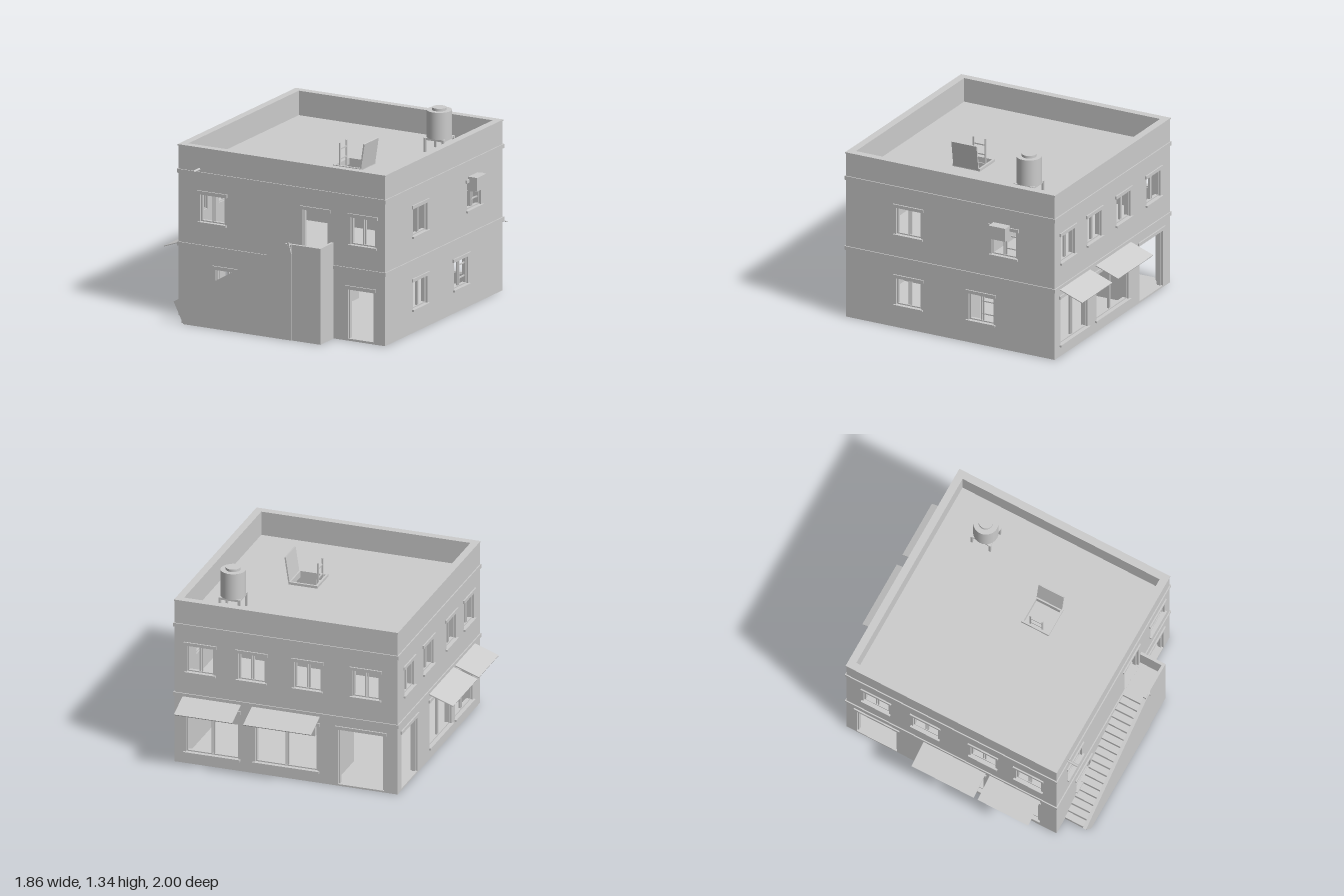
import * as THREE from 'three';

const plaster = new THREE.MeshStandardMaterial({ color: 0xcccccc });
plaster.name = 'plaster grey';

const X0 = -0.75, X1 = 0.86, Z0 = -0.82, Z1 = 0.80; // outer walls
const T = 0.05; // wall thickness

function add(parent, name, geometry) {
  const mesh = new THREE.Mesh(geometry, plaster);
  mesh.name = name;
  parent.add(mesh);
  return mesh;
}

// box given by its minimum and maximum corners
function box(parent, name, x0, x1, y0, y1, z0, z1) {
  const mesh = add(parent, name, new THREE.BoxGeometry(x1 - x0, y1 - y0, z1 - z0));
  mesh.position.set((x0 + x1) / 2, (y0 + y1) / 2, (z0 + z1) / 2);
  return mesh;
}

function rect(Kind, x0, x1, y0, y1) {
  const p = new Kind();
  p.moveTo(x0, y0);
  p.lineTo(x1, y0);
  p.lineTo(x1, y1);
  p.lineTo(x0, y1);
  p.closePath();
  return p;
}

const extrude = (shape, depth) => new THREE.ExtrudeGeometry(shape, { depth, bevelEnabled: false });

// frame, lintel, sill and sashes of one opening; the outer wall face is z = 0
function fitOpening(g, { u0, u1, y0, y1, kind, bars }) {
  const m = (u0 + u1) / 2, f = 0.01;
  box(g, 'lintel', u0 - 0.02, u1 + 0.02, y1, y1 + 0.023, -0.01, 0.01);
  for (const [a, b] of [[u0, u0 + f], [u1 - f, u1]]) box(g, 'frameStile', a, b, y0, y1, -0.04, -0.015);
  box(g, 'frameHead', u0, u1, y1 - f, y1, -0.04, -0.015);
  if (kind === 'door') return;
  box(g, 'sill', u0 - 0.015, u1 + 0.015, y0 - 0.014, y0, -0.01, 0.015);
  box(g, 'frameFoot', u0, u1, y0, y0 + 0.008, -0.04, -0.015);
  for (const d of [-0.008, 0.008]) box(g, 'sashStile', m + d - 0.004, m + d + 0.004, y0, y1, -0.035, -0.02);
  if (bars) {
    for (const t of [0.28, 0.75]) {
      const y = y0 + t * (y1 - y0);
      box(g, 'glazingBar', m, u1, y - 0.004, y + 0.004, -0.032, -0.022);
    }
  }
}

// wall panel with holes, facing local +z
function wall(parent, name, a, b, openings) {
  const g = new THREE.Group();
  g.name = name;
  const shape = rect(THREE.Shape, a, b, 0, 1.2);
  for (const o of openings) {
    shape.holes.push(rect(THREE.Path, o.u0, o.u1, o.y0, o.y1));
    fitOpening(g, o);
  }
  add(g, name + 'Panel', extrude(shape, T)).position.z = -T;
  parent.add(g);
  return g;
}

const upper = (c, bars) => ({ u0: c - 0.097, u1: c + 0.097, y0: 0.68, y1: 0.875, bars });
const lower = (c, bars) => ({ u0: c - 0.097, u1: c + 0.097, y0: 0.165, y1: 0.36, bars });
const shop = (u0, u1) => ({ u0, u1, y0: 0.085, y1: 0.42 });
const door = (u0, u1, y0, y1) => ({ u0, u1, y0, y1, kind: 'door' });

// sloping sheet over a shop window, on a wall facing local +z
function awning(g, u0, u1) {
  const len = Math.hypot(0.18, 0.065);
  const m = add(g, 'awning', new THREE.BoxGeometry(u1 - u0, 0.006, len));
  m.position.set((u0 + u1) / 2, 0.462, 0.09);
  m.rotation.x = Math.atan2(0.065, 0.18);
}

function buildStairs(root) {
  const g = new THREE.Group();
  g.name = 'outsideStair';
  const n = 17, xs = -0.63, xe = 0.18, w = (xe - xs) / n;
  for (let i = 0; i < n; i++) {
    box(g, 'step', xs + i * w, xs + (i + 1) * w, 0, 0.515 * (i + 1) / (n + 1), Z1, 0.97);
  }
  box(g, 'landing', xe, 0.44, 0, 0.515, Z1, 0.97);
  box(g, 'landingSide', 0.44, 0.46, 0, 0.675, Z1, 0.985);
  box(g, 'landingFront', xe, 0.44, 0, 0.675, 0.965, 0.985);
  // sloped parapet along the flight
  const s = new THREE.Shape();
  [[-0.605, 0], [-0.68, 0.15], [0.2, 0.665], [0.235, 0.675], [0.235, 0]].forEach(([x, y], i) =>
    i ? s.lineTo(x, y) : s.moveTo(x, y));
  add(g, 'flightParapet', extrude(s, 0.025)).position.z = 0.965;
  const hook = add(g, 'parapetEnd', new THREE.BoxGeometry(0.012, 0.075, 0.012));
  hook.position.set(0.225, 0.65, 0.994);
  hook.rotation.z = 0.25;
  box(g, 'stairCurb', -0.63, -0.605, 0, 0.025, Z1, 0.87);
  root.add(g);
}

function buildTank(root) {
  const g = new THREE.Group();
  g.name = 'waterTank';
  g.position.set(0.57, 0, -0.46);
  const profile = [[0, 1.13], [0.087, 1.13], [0.087, 1.32], [0.05, 1.32], [0.05, 1.338], [0, 1.338]];
  // each straight run gets its own surface so that edges stay sharp
  for (let i = 0; i < profile.length - 1; i++) {
    const pts = [profile[i], profile[i + 1]].map(([r, y]) => new THREE.Vector2(r, y));
    add(g, 'tankShell', new THREE.LatheGeometry(pts, 32));
  }
  box(g, 'tankStand', -0.075, 0.075, 1.115, 1.13, -0.075, 0.075);
  for (const x of [-0.07, 0.07]) for (const z of [-0.07, 0.07])
    box(g, 'tankLeg', x - 0.008, x + 0.008, 1.03, 1.13, z - 0.008, z + 0.008);
  root.add(g);
}

function buildHatch(root) {
  const g = new THREE.Group();
  g.name = 'roofHatch';
  const rim = rect(THREE.Shape, 0.145, 0.355, -0.255, -0.04);
  rim.holes.push(rect(THREE.Path, 0.16, 0.34, -0.24, -0.055));
  const r = add(g, 'hatchRim', extrude(rim, 0.02));
  r.rotation.x = -Math.PI / 2;
  r.position.y = 1.028;
  const lid = add(g, 'hatchLid', new THREE.BoxGeometry(0.01, 0.185, 0.195));
  lid.position.set(0.368, 1.13, 0.148);
  lid.rotation.z = -0.15;
  for (const z of [0.1, 0.19]) box(g, 'ladderRail', 0.16, 0.17, 0.515, 1.19, z, z + 0.01);
  for (let y = 0.58; y < 1.19; y += 0.07) box(g, 'ladderRung', 0.161, 0.169, y, y + 0.009, 0.11, 0.19);
  root.add(g);
}

export function createModel() {
  const root = new THREE.Group();
  root.name = 'cornerShopHouse';

  // four outer walls; local x runs to the right as seen from outside
  const front = wall(root, 'frontWall', X0, X1, [
    upper(-0.485), upper(0.687), lower(-0.365),
    door(0.215, 0.415, 0.518, 0.878), door(0.57, 0.77, 0.015, 0.365)]);
  front.position.z = Z1;

  const right = wall(root, 'rightWall', -Z1 + T, -Z0 - T, [
    upper(-0.315), upper(0.425, true), lower(-0.315), lower(0.248, true)]);
  right.rotation.y = Math.PI / 2;
  right.position.x = X1;

  const back = wall(root, 'backWall', -X1, -X0, [
    ...[-0.675, -0.305, 0.1, 0.52].map((c) => upper(c)),
    shop(-0.78, -0.4), shop(-0.28, 0.17), door(0.32, 0.65, 0.012, 0.42)]);
  back.rotation.y = Math.PI;
  back.position.z = Z0;
  awning(back, -0.8, -0.38);
  awning(back, -0.3, 0.19);

  const left = wall(root, 'leftWall', Z0 + T, Z1 - T, [
    ...[-0.59, -0.21, 0.235, 0.585].map((c) => upper(c)),
    shop(-0.19, 0.24), shop(0.315, 0.66), door(-0.74, -0.43, 0.012, 0.42)]);
  left.rotation.y = -Math.PI / 2;
  left.position.x = X0;
  awning(left, -0.22, 0.26);
  awning(left, 0.29, 0.68);

  // storey bands and parapet coping
  for (const [y0, y1, e] of [[0.49, 0.517, 0.008], [1.002, 1.03, 0.008], [1.192, 1.202, 0.004]]) {
    const ring = rect(THREE.Shape, X0 - e, X1 + e, -Z1 - e, -Z0 + e);
    const i = e < 0.005 ? T : 0.01;
    ring.holes.push(rect(THREE.Path, X0 + i, X1 - i, -Z1 + i, -Z0 - i));
    const m = add(root, y1 > 1.1 ? 'coping' : 'storeyBand', extrude(ring, y1 - y0));
    m.rotation.x = -Math.PI / 2;
    m.position.y = y0;
  }

  // floors and roof slab with the hatch opening
  box(root, 'groundFloor', X0 + 0.002, X1 - 0.002, 0, 0.012, Z0 + 0.002, Z1 - 0.002);
  box(root, 'upperFloor', X0 + 0.01, X1 - 0.01, 0.49, 0.515, Z0 + 0.01, Z1 - 0.01);
  const roof = rect(THREE.Shape, X0 + 0.02, X1 - 0.02, -Z1 + 0.02, -Z0 - 0.02);
  roof.holes.push(rect(THREE.Path, 0.16, 0.34, -0.24, -0.055));
  const slab = add(root, 'roofSlab', extrude(roof, 0.028));
  slab.rotation.x = -Math.PI / 2;
  slab.position.y = 1.002;

  // inner partitions and counter
  box(root, 'lowerPartition', 0.1, 0.13, 0.01, 0.49, -0.13, Z1 - T);
  box(root, 'lowerCrossWall', 0.655, X1 - T, 0.01, 0.49, -0.13, -0.1);
  box(root, 'lobbyWall', -0.29, -0.265, 0.01, 0.49, Z0 + T, -0.42);
  box(root, 'upperPartition', -0.45, X1 - T, 0.51, 1.002, -0.13, -0.1);
  box(root, 'upperCrossWall', -0.7, -0.47, 0.51, 1.002, -0.13, -0.1);
  box(root, 'counter', 0.68, 0.8, 0.01, 0.13, 0.3, 0.6);

  // air conditioner on its bracket, and the roof drain spout
  box(root, 'airConditioner', X1 - 0.01, 0.93, 0.82, 0.915, -0.475, -0.345);
  for (const z of [-0.46, -0.37]) box(root, 'airConditionerBracket', X1 - 0.01, 0.91, 0.81, 0.82, z, z + 0.01);
  const spout = add(root, 'drainSpout', new THREE.CylinderGeometry(0.009, 0.009, 0.09, 10));
  spout.rotation.x = Math.PI / 2;
  spout.position.set(-0.588, 1.047, Z1 + 0.035);

  buildStairs(root);
  buildTank(root);
  buildHatch(root);
  return root;
}
